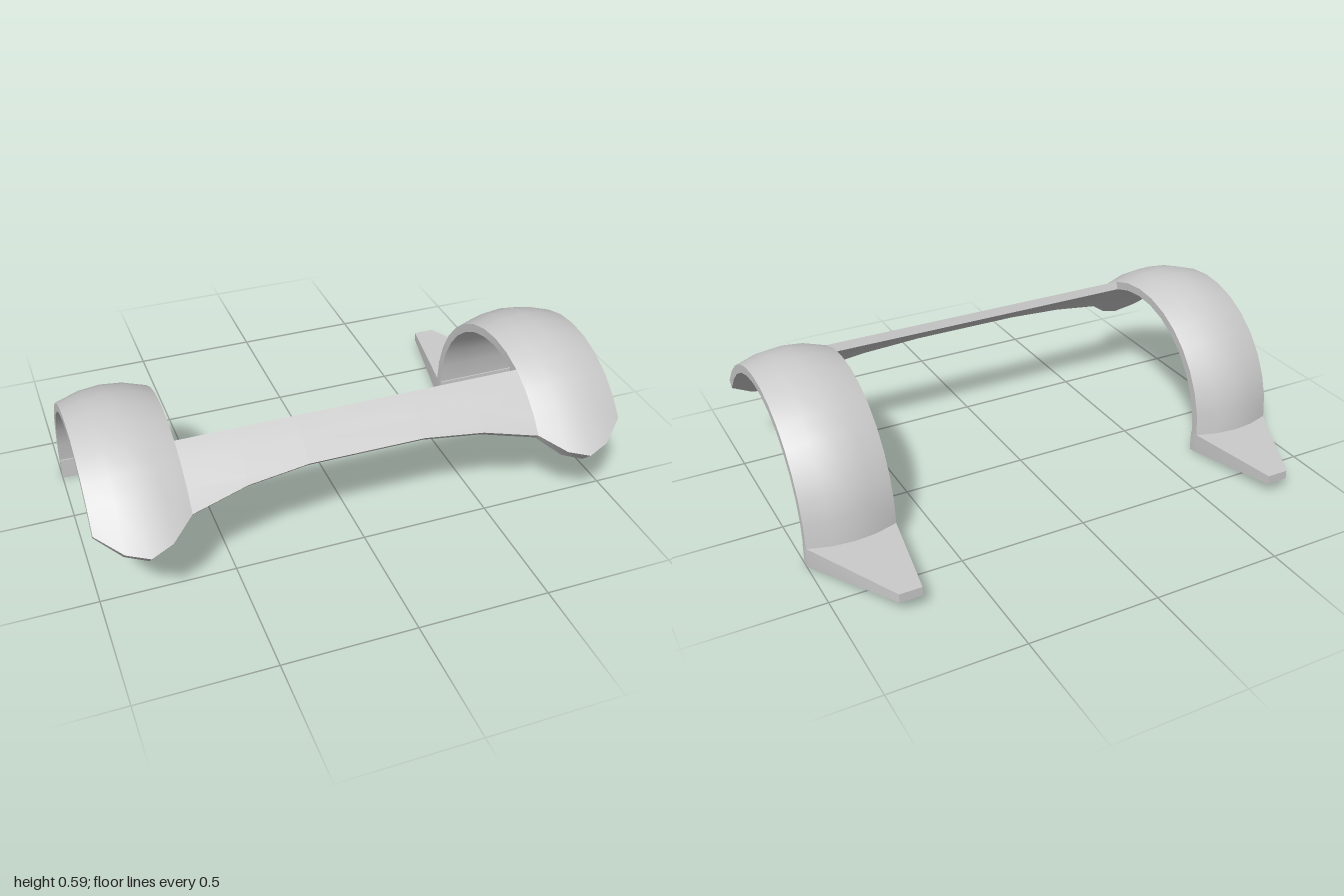
import * as THREE from 'three';
import { toCreasedNormals } from 'three/addons/utils/BufferGeometryUtils.js';

const CENTER_Y = 0.085, CENTER_Z = 0.18; // axis of the arches
const INNER_R = 0.435, EDGE_R = 0.468;

// Solid lofted through closed rings of equal point count, capped at both ends.
function loft(name, rings) {
  const pos = [];
  const tri = (...pts) => pts.forEach((p) => pos.push(...p));
  const n = rings[0].length;
  for (let r = 0; r < rings.length - 1; r++) {
    const A = rings[r], B = rings[r + 1];
    for (let i = 0; i < n; i++) {
      const j = (i + 1) % n;
      tri(A[i], B[i], A[j]);
      tri(A[j], B[i], B[j]);
    }
  }
  const first = rings[0], last = rings[rings.length - 1];
  for (let i = 0; i < n / 2 - 1; i++) {
    const k = n - 1 - i;
    tri(last[i], last[k], last[i + 1]);
    tri(last[i + 1], last[k], last[k - 1]);
    tri(first[i], first[i + 1], first[k]);
    tri(first[i + 1], first[k - 1], first[k]);
  }
  const geo = new THREE.BufferGeometry();
  geo.setAttribute('position', new THREE.Float32BufferAttribute(pos, 3));
  const mesh = new THREE.Mesh(
    toCreasedNormals(geo, 0.5),
    new THREE.MeshStandardMaterial({ color: 0xcccccc })
  );
  mesh.name = name;
  return mesh;
}

// Cross-section of the curved sheet at x: a straight front tab, then an arc from 45 degrees to endDeg.
function sheetRing(x, outerR, tab, endDeg) {
  const path = (r) => {
    const pts = [];
    for (let deg = 45; deg <= endDeg + 0.01; deg += 11.25) {
      const a = THREE.MathUtils.degToRad(deg);
      pts.push([x, CENTER_Y + r * Math.sin(a), CENTER_Z + r * Math.cos(a)]);
    }
    const [, y, z] = pts[0];
    return [[x, y - 0.764 * tab, z + 0.645 * tab], ...pts];
  };
  return [...path(outerR), ...path(INNER_R).reverse()];
}

export function createModel() {
  const model = new THREE.Group();

  for (const s of [1, -1]) {
    const side = s > 0 ? 'left' : 'right';

    // Arch with a crowned outer face and a rounded front tab
    const columns = [[-0.17, 0.085], [-0.082, 0.17], [0, 0.203], [0.082, 0.17], [0.17, 0.085]];
    model.add(loft(side + 'Arch', columns.map(([dx, tab]) =>
      sheetRing(s * 0.83 + dx, EDGE_R + 0.035 * (1 - (dx / 0.17) ** 2), tab, 180))));

    // Tapered foot pointing backwards
    const stations = [[-0.25, 0.66, 1, 0], [-0.285, 0.66, 1, 0.005], [-0.672, 0.725, 0.81, 0.05]];
    model.add(loft(side + 'Foot', stations.map(([z, near, far, bottom]) => {
      const x0 = Math.min(s * near, s * far), x1 = Math.max(s * near, s * far);
      return [[x1, CENTER_Y, z], [x0, CENTER_Y, z], [x0, bottom, z], [x1, bottom, z]];
    })));
  }

  // Curved bridge joining the arches, its lower edge rising towards the middle
  const span = [[-0.66, 0.085], [-0.45, 0.03], [-0.22, 0.003], [0.22, 0.003], [0.45, 0.03], [0.66, 0.085]];
  model.add(loft('bridge', span.map(([x, tab]) => sheetRing(x, EDGE_R, tab, 67.5))));

  return model;
}
